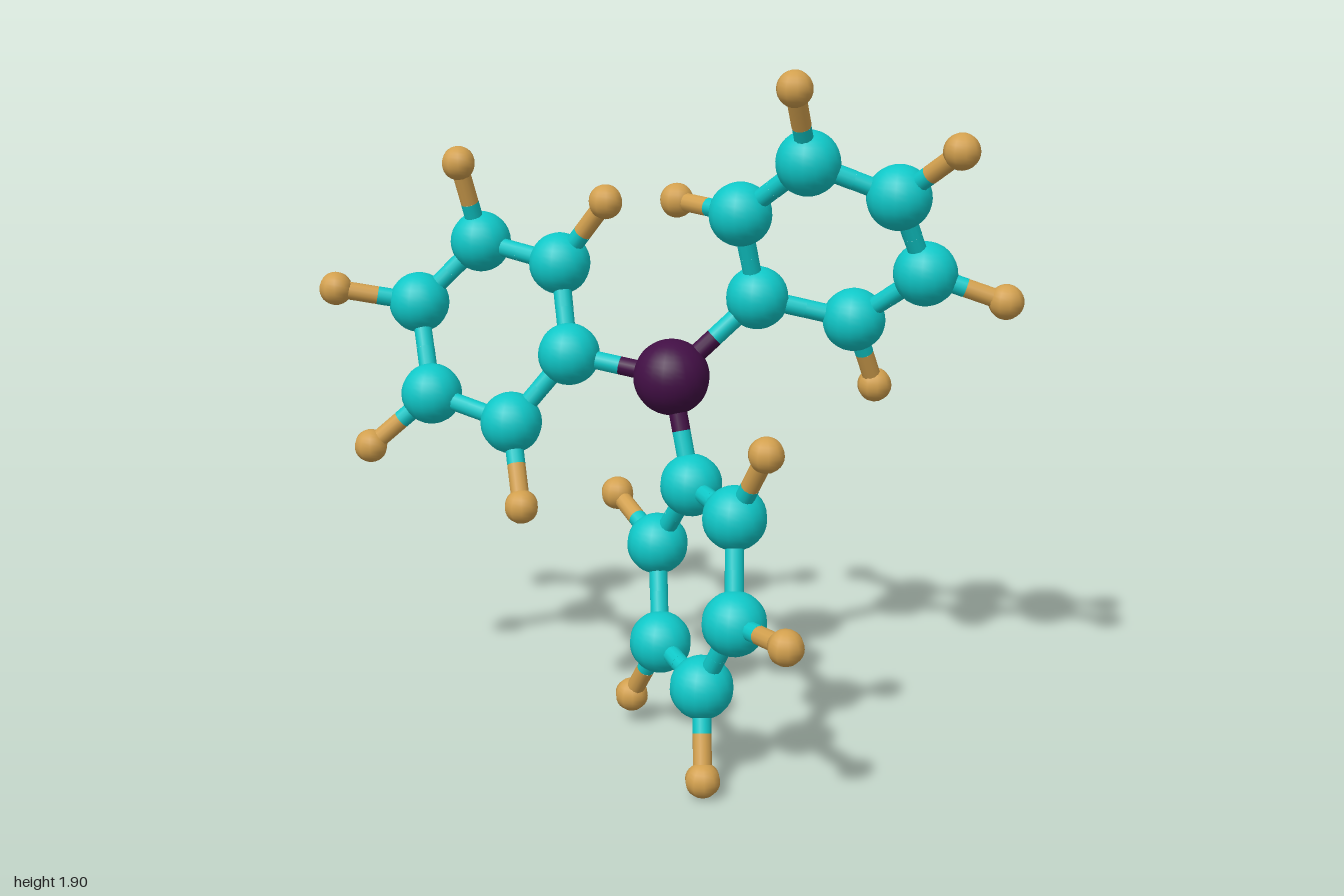
import * as THREE from 'three';

const material = (name, color) => {
  const m = new THREE.MeshStandardMaterial({ color });
  m.name = name;
  return m;
};

export function createModel() {
  const model = new THREE.Group();
  model.name = 'ballAndStickMolecule';

  const teal = material('teal', 0x0fc8c8);
  const tan = material('tan', 0xd2a04e);
  const purple = material('dark purple', 0x420f45);

  // Atom kinds share one sphere each
  const kinds = {
    centre: { mat: purple, geo: new THREE.SphereGeometry(0.106, 20, 20) },
    ring: { mat: teal, geo: new THREE.SphereGeometry(0.087, 16, 16) },
    tip: { mat: tan, geo: new THREE.SphereGeometry(0.048, 10, 14) },
  };
  const stickRadius = 0.026;
  const up = new THREE.Vector3(0, 1, 0);

  function addAtom(parent, kind, p) {
    const mesh = new THREE.Mesh(kinds[kind].geo, kinds[kind].mat);
    mesh.name = kind + 'Atom';
    mesh.position.set(...p);
    parent.add(mesh);
    return { kind, pos: mesh.position };
  }

  // Half of a bond, from an atom to the midpoint
  function addHalfBond(parent, atom, mid) {
    const dir = mid.clone().sub(atom.pos);
    const geo = new THREE.CylinderGeometry(stickRadius, stickRadius, dir.length(), 12, 1, true);
    const mesh = new THREE.Mesh(geo, kinds[atom.kind].mat);
    mesh.name = atom.kind + 'Bond';
    mesh.position.copy(atom.pos).addScaledVector(dir, 0.5);
    mesh.quaternion.setFromUnitVectors(up, dir.normalize());
    parent.add(mesh);
  }

  function addBond(parent, a, b) {
    const mid = a.pos.clone().lerp(b.pos, 0.5);
    addHalfBond(parent, a, mid);
    addHalfBond(parent, b, mid);
  }

  const centre = addAtom(model, 'centre', [0.055, 1.043, -0.185]);

  // Each ring: six atoms in order, the first joined to the centre,
  // and a tip for each of the other five
  const rings = [
    {
      name: 'rightRing',
      atoms: [[-0.24, 1.09, -0.185], [-0.295, 1.325, -0.29], [-0.555, 1.362, -0.367],
        [-0.728, 1.185, -0.31], [-0.655, 0.945, -0.195], [-0.395, 0.895, -0.13]],
      tips: [[-0.15, 1.512, -0.25], [-0.59, 1.597, -0.29], [-0.953, 1.23, -0.23],
        [-0.828, 0.79, -0.145], [-0.335, 0.685, -0.023]],
    },
    {
      name: 'leftRing',
      atoms: [[0.275, 1.26, -0.275], [0.238, 1.502, -0.205], [0.43, 1.657, -0.13],
        [0.665, 1.57, -0.17], [0.733, 1.353, -0.26], [0.537, 1.203, -0.322]],
      tips: [[0.035, 1.512, -0.325], [0.41, 1.86, -0.012], [0.828, 1.707, -0.082],
        [0.948, 1.283, -0.283], [0.59, 1.0, -0.405]],
    },
    {
      name: 'lowerRing',
      atoms: [[0.13, 0.758, -0.112], [0.297, 0.75, 0.11], [0.323, 0.498, 0.223],
        [0.222, 0.276, 0.152], [0.054, 0.3, -0.07], [0.014, 0.547, -0.197]],
      tips: [[0.393, 0.955, 0.192], [0.49, 0.522, 0.403], [0.25, 0.055, 0.257],
        [-0.05, 0.093, -0.15], [-0.147, 0.633, -0.36]],
    },
  ];

  for (const { name, atoms, tips } of rings) {
    const group = new THREE.Group();
    group.name = name;
    const members = atoms.map((p) => addAtom(group, 'ring', p));
    members.forEach((a, i) => addBond(group, a, members[(i + 1) % 6]));
    tips.forEach((p, i) => addBond(group, members[i + 1], addAtom(group, 'tip', p)));
    addBond(group, centre, members[0]);
    model.add(group);
  }

  return model;
}
